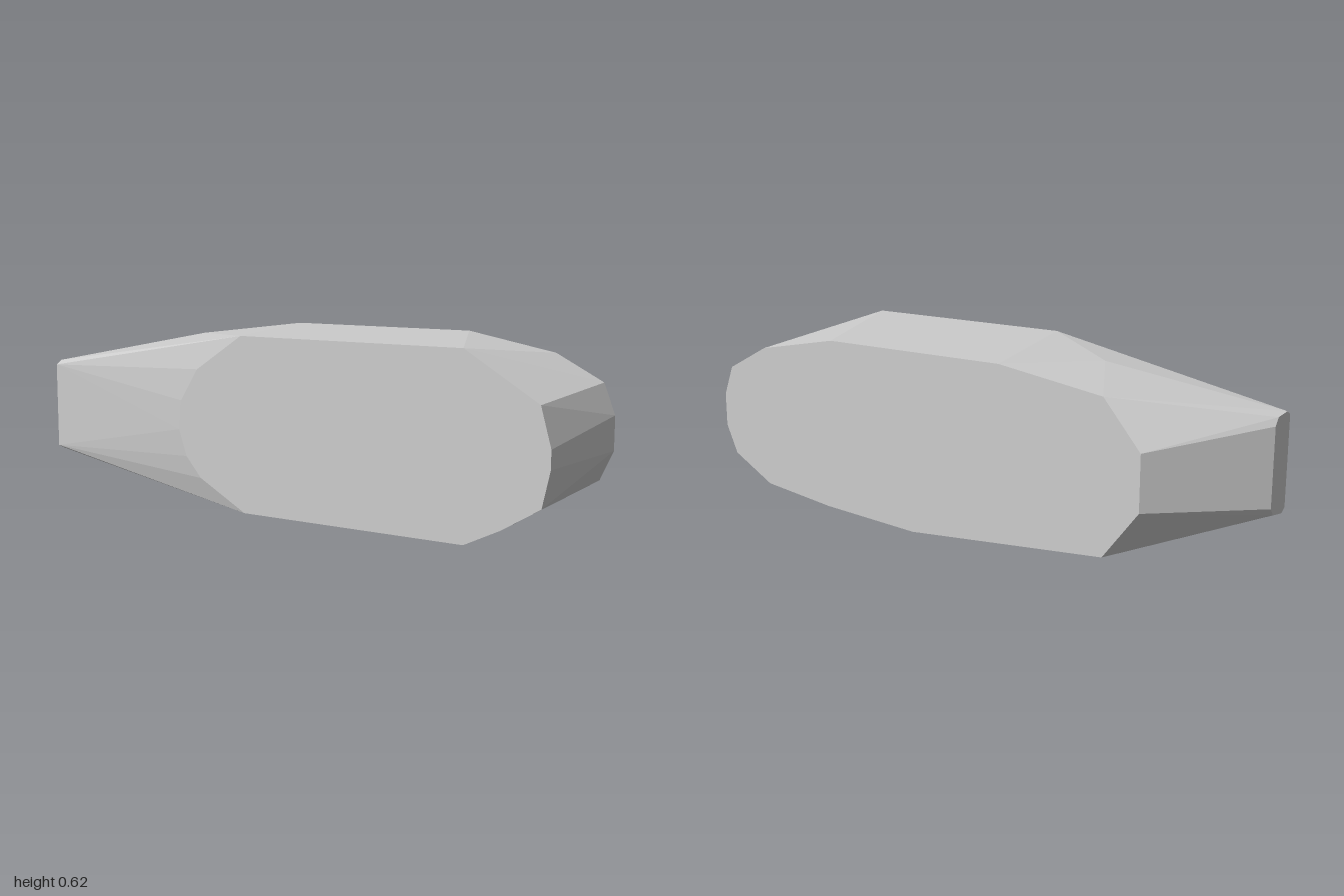
import * as THREE from 'three';
import { ConvexGeometry } from 'three/addons/geometries/ConvexGeometry.js';

// Flat front outline, [x, y] at z = 0.30
const frontFace = [
  [-0.08, 0.62], [-0.26, 0.5], [-0.33, 0.39], [-0.34, 0.29], [-0.31, 0.2], [-0.25, 0.13], [-0.07, 0.03],
  [0.73, 0.03], [0.85, 0.09], [0.975, 0.168], [1, 0.285], [1, 0.345], [0.965, 0.47], [0.72, 0.62],
];

// Flat back outline, [x, y] at z = -0.30
const backFace = [
  [-0.235, 0.62], [-0.61, 0.565], [-0.74, 0.41], [-0.74, 0.225], [-0.617, 0.062], [0.114, 0],
  [0.49, 0.022], [0.773, 0.057], [0.935, 0.148], [0.98, 0.25], [0.98, 0.367], [0.94, 0.472],
  [0.773, 0.56], [0.456, 0.62],
];

// Narrow end cap, [z, y] at x = -1
const endCap = [
  [0.195, 0.16], [0.195, 0.465], [0.17, 0.48], [0.1, 0.475], [0.08, 0.45],
  [0.08, 0.185], [0.1, 0.16], [0.17, 0.147],
];

// Shoulders where the taper begins
const shoulders = [[-0.43, 0.597, 0.03], [-0.43, 0.033, 0.03]];

export function createModel() {
  const group = new THREE.Group();
  const points = [
    ...frontFace.map(([x, y]) => new THREE.Vector3(x, y, 0.3)),
    ...backFace.map(([x, y]) => new THREE.Vector3(x, y, -0.3)),
    ...endCap.map(([z, y]) => new THREE.Vector3(-1, y, z)),
    ...shoulders.map((p) => new THREE.Vector3(...p)),
  ];

  // Faceted convex body spanning all the outlines
  const body = new THREE.Mesh(
    new ConvexGeometry(points),
    new THREE.MeshStandardMaterial({ color: 0xcccccc, flatShading: true }),
  );
  body.name = 'taperedBody';
  group.add(body);
  return group;
}
